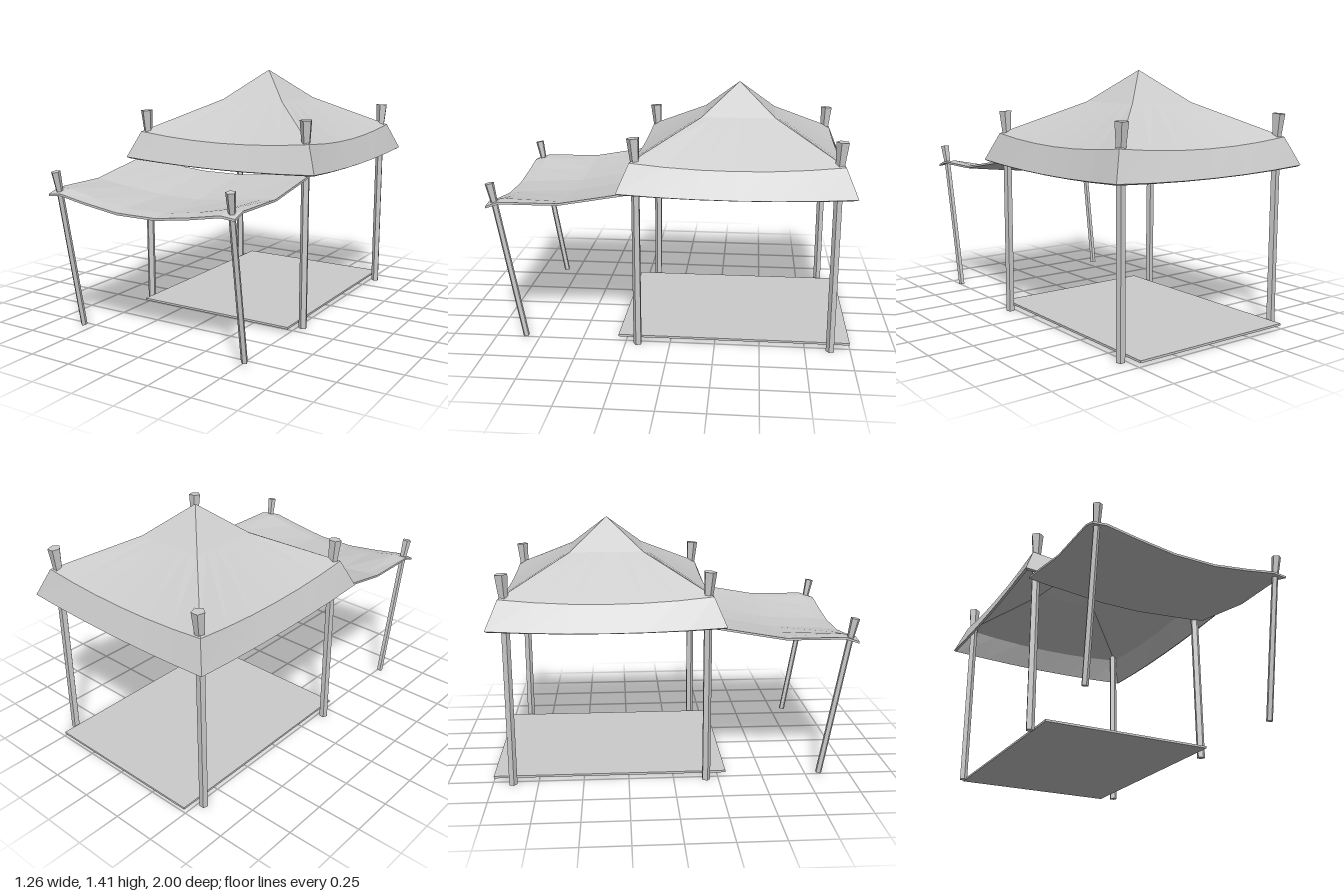
import * as THREE from 'three';

const material = new THREE.MeshStandardMaterial({ color: 0xcccccc, flatShading: true });
const V = (x, y, z) => new THREE.Vector3(x, y, z);

// Skin over closed loops of points
function loft(loops) {
  const pos = [];
  const n = loops[0].length;
  for (let i = 0; i < loops.length - 1; i++) {
    for (let j = 0; j < n; j++) {
      const k = (j + 1) % n;
      const a = loops[i][j], b = loops[i][k], c = loops[i + 1][j], d = loops[i + 1][k];
      for (const p of [a, c, b, b, c, d]) pos.push(p.x, p.y, p.z);
    }
  }
  const g = new THREE.BufferGeometry();
  g.setAttribute('position', new THREE.Float32BufferAttribute(pos, 3));
  g.computeVertexNormals();
  return g;
}

// Five-sided pole between two points
function pole(a, b, r0, r1) {
  const dir = b.clone().sub(a);
  const g = new THREE.CylinderGeometry(r1, r0, dir.length(), 5);
  g.applyQuaternion(new THREE.Quaternion().setFromUnitVectors(V(0, 1, 0), dir.normalize()));
  const mid = a.clone().add(b).multiplyScalar(0.5);
  return g.translate(mid.x, mid.y, mid.z);
}

const ROOF_Z = -0.355;

// Square ring whose sides sag between the corners
function roofRing(half, y, sag) {
  const ring = [], steps = 6;
  for (let side = 0; side < 4; side++) {
    for (let s = 0; s < steps; s++) {
      const u = -1 + (2 * s) / steps;
      const p = V(u * half, y - sag * (1 - u * u), half);
      p.applyAxisAngle(V(0, 1, 0), (side * Math.PI) / 2);
      p.z += ROOF_Z;
      ring.push(p);
    }
  }
  return ring;
}

// Awning cross-section: upper edge left to right, lower edge back again
function awningSection(z, heights, thickness) {
  const xs = [0.58, 0.5, 0.33, 0.12];
  const top = [
    ...xs.map((x, i) => V(-x, heights[i], z)),
    ...xs.map((x, i) => V(x, heights[i], z)).reverse(),
  ];
  const under = top.map((p) => V(p.x, p.y - thickness, p.z)).reverse();
  return [...top, ...under];
}

export function createModel() {
  const group = new THREE.Group();
  const add = (name, geometry) => {
    const mesh = new THREE.Mesh(geometry, material);
    mesh.name = name;
    group.add(mesh);
    return mesh;
  };

  // Peaked roof with sloping valance, outside then inside
  add('roofCanopy', loft([
    roofRing(0, 1.41, 0),
    roofRing(0.205, 1.235, 0),
    roofRing(0.565, 1.05, 0.033),
    roofRing(0.63, 0.897, 0.021),
    roofRing(0.618, 0.889, 0.018),
    roofRing(0.555, 1.035, 0.033),
    roofRing(0.2, 1.22, 0),
    roofRing(0, 1.392, 0),
  ]));

  // Sagging front awning
  const rows = [
    [0.2, [0.892, 0.88, 0.865, 0.847]],
    [0.6, [0.822, 0.812, 0.792, 0.772]],
    [0.92, [0.822, 0.822, 0.787, 0.757]],
    [0.995, [0.797, 0.805, 0.775, 0.746]],
  ];
  const t = 0.012;
  const sections = rows.map(([z, h]) => awningSection(z, h, t));
  const lowered = ([z, h]) => awningSection(z, h.map((y) => y - t), 0);
  add('frontAwning', loft([lowered(rows[0]), ...sections, lowered(rows[3])]));

  // Ground mat
  add('groundMat', new THREE.BoxGeometry(0.985, 0.012, 1.295).translate(0, 0.026, -0.3525));

  for (const sx of [1, -1]) {
    const side = sx > 0 ? 'left' : 'right';
    // Upright roof poles with flared heads
    for (const sz of [1, -1]) {
      const at = (x, y, dz) => V(sx * x, y, ROOF_Z + sz * dz);
      const end = sz > 0 ? 'Front' : 'Back';
      add(`${side}${end}Pole`, pole(at(0.53, 0, 0.535), at(0.533, 1.06, 0.535), 0.024, 0.024));
      add(`${side}${end}PoleHead`, pole(at(0.533, 1.03, 0.535), at(0.536, 1.178, 0.545), 0.024, 0.036));
    }
    // Leaning awning poles with flared heads
    add(`${side}AwningPole`, pole(V(sx * 0.527, 0.022, 0.818), V(sx * 0.54, 0.82, 0.957), 0.018, 0.018));
    add(`${side}AwningPoleHead`, pole(V(sx * 0.54, 0.8, 0.953), V(sx * 0.545, 0.917, 0.975), 0.019, 0.026));
  }

  return group;
}
